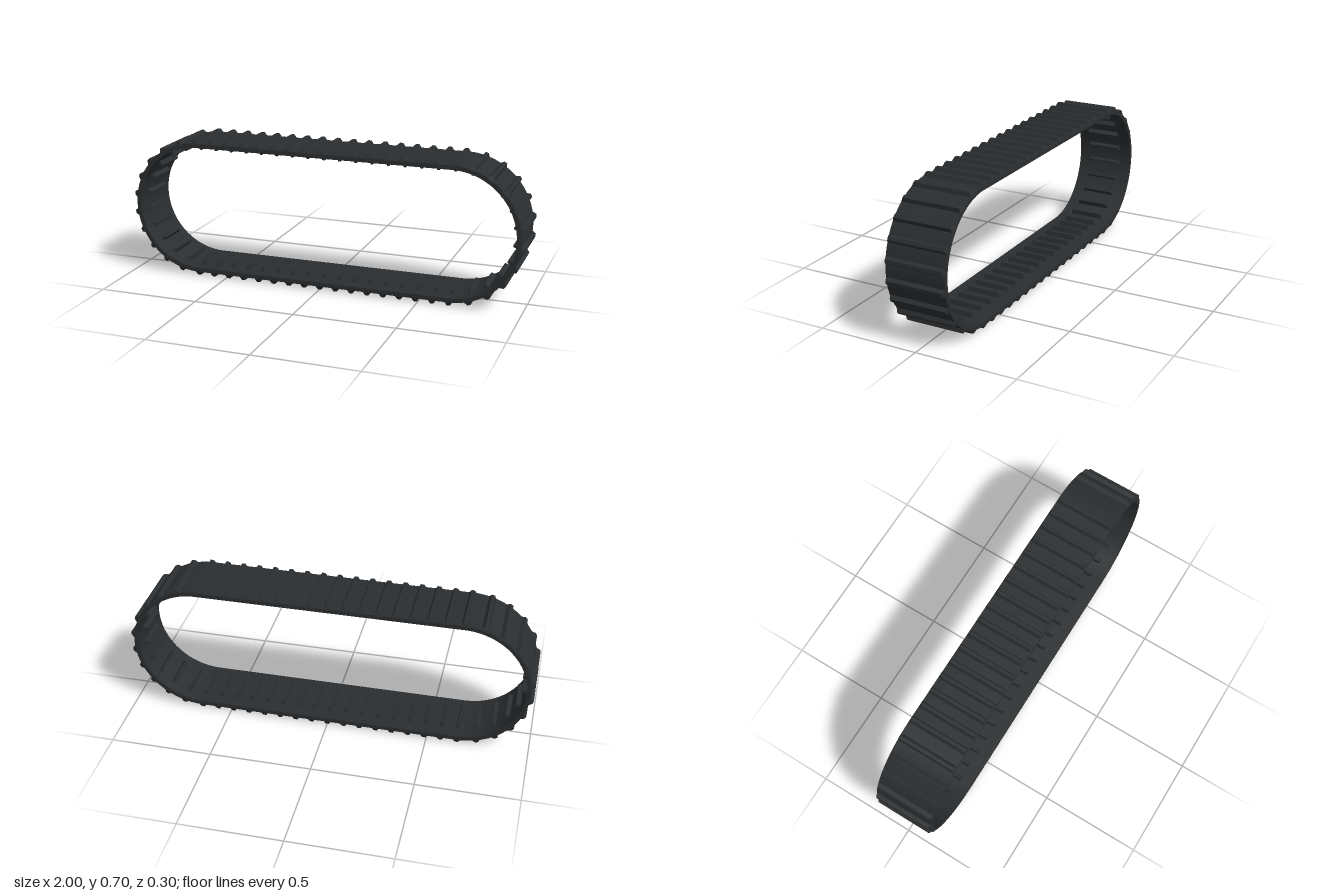
import * as THREE from 'three';
import { toCreasedNormals } from 'three/addons/utils/BufferGeometryUtils.js';

const HALF = 0.65;      // half length of the straight runs
const CY = 0.351;       // height of the end-arc centres
const R_OUT = 0.333, R_IN = 0.312, R_TIP = 0.351, R_LUG = 0.288;
const WIDTH = 0.3;
const STRAIGHT = 17, ARC = 10;

// closed stadium outline of radius r
function stadium(r, path) {
  path.moveTo(-HALF, -r);
  path.lineTo(HALF, -r);
  path.absarc(HALF, 0, r, -Math.PI / 2, Math.PI / 2, false);
  path.lineTo(-HALF, r);
  path.absarc(-HALF, 0, r, Math.PI / 2, Math.PI * 1.5, false);
  return path;
}

// block from y0 to y1 whose two ends differ in size: [width, depth]
function taperedBlock(y0, y1, [w0, d0], [w1, d1]) {
  const geo = new THREE.BoxGeometry(1, 1, 1);
  const p = geo.attributes.position;
  for (let i = 0; i < p.count; i++) {
    const top = p.getY(i) > 0;
    p.setXYZ(i, p.getX(i) * (top ? w1 : w0), top ? y1 : y0, p.getZ(i) * (top ? d1 : d0));
  }
  geo.computeVertexNormals();
  return geo;
}

export function createModel() {
  const model = new THREE.Group();
  model.name = 'crawlerTrack';
  const rubber = new THREE.MeshStandardMaterial({ color: 0x2b2e30 });

  // continuous belt
  const shape = stadium(R_OUT, new THREE.Shape());
  shape.holes.push(stadium(R_IN, new THREE.Path()));
  const beltGeo = new THREE.ExtrudeGeometry(shape, { depth: WIDTH, bevelEnabled: false, curveSegments: 33 });
  beltGeo.translate(0, 0, -WIDTH / 2);
  const belt = new THREE.Mesh(toCreasedNormals(beltGeo, Math.PI / 6), rubber);
  belt.name = 'belt';
  belt.position.y = CY;
  model.add(belt);

  // outer grouser bar and inner guide lug, measured from the arc centre
  const cleatGeo = taperedBlock(R_OUT - 0.004, R_TIP, [0.038, 0.302], [0.016, 0.284]);
  const lugGeo = taperedBlock(R_LUG, R_IN + 0.004, [0.01, 0.165], [0.024, 0.18]);

  function addLink(x, angle) {
    const link = new THREE.Group();
    link.name = 'trackLink';
    const cleat = new THREE.Mesh(cleatGeo, rubber);
    cleat.name = 'outerCleat';
    const lug = new THREE.Mesh(lugGeo, rubber);
    lug.name = 'innerLug';
    link.add(cleat, lug);
    link.position.set(x, CY, 0);
    link.rotation.z = angle;
    model.add(link);
  }

  // top and bottom runs
  for (let i = 0; i < STRAIGHT; i++) {
    const x = -HALF + (2 * HALF * i) / (STRAIGHT - 1);
    addLink(x, 0);
    addLink(x, Math.PI);
  }
  // rounded ends
  for (let i = 1; i <= ARC; i++) {
    const a = (Math.PI * i) / (ARC + 1);
    addLink(HALF, -a);
    addLink(-HALF, a);
  }
  return model;
}
